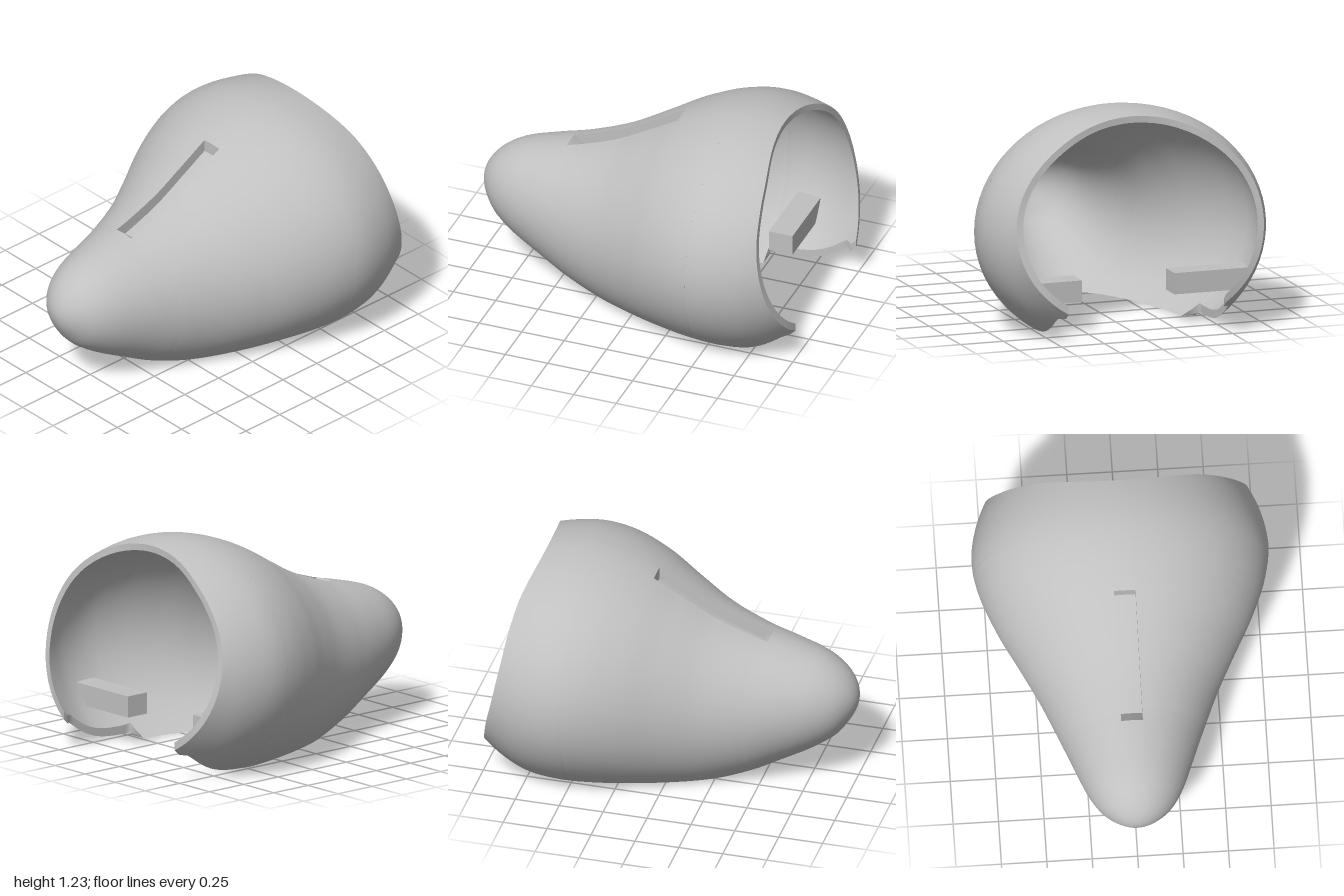
import * as THREE from 'three';
import { mergeVertices } from 'three/addons/utils/BufferGeometryUtils.js';

const { clamp, mapLinear } = THREE.MathUtils;
const SLOT_DEPTH = 0.07;
const SIDE = 26, MID = 2; // columns beside and (half) across the slot

// Wall thickness, thinner towards the rear
const wall = z => mapLinear(clamp(z, -.8, .2), -.8, .2, .036, .055);

// Elliptical stations: z, half width, top y, bottom y
const stations = [
  [1, 0, .49, .49], [.95, .135, .62, .35], [.9, .19, .67, .28], [.8, .255, .73, .2],
  [.6, .335, .79, .085], [.44, .395, .83, 0], [.2, .495, .92, -.085], [0, .6, 1.03, -.115],
  [-.2, .71, 1.14, -.125], [-.4, .79, 1.21, -.13], [-.57, .817, 1.23, -.13],
  [-.76, .783, 1.21, -.11], [-.9, .72, 1.17, -.05], [-1, .665, 1.1, .03], [-1.1, .58, 1, .13],
];
const spline = (times, values, size) => new THREE.CubicInterpolant(times, values, size, new Float32Array(size));
const body = spline(stations.map(s => Math.sqrt(1 - s[0])), stations.flatMap(s => s.slice(1)), 3);

// Rear trim line: z for each height
const trim = spline([0, .18, .4, .6, .8, 1, 1.1, 1.21, 1.26],
  [-1.055, -1, -.94, -.893, -.856, -.83, -.81, -.76, -.73], 1);

// Rows at fixed z up to the rear cut-out, then rows blending to the trim line
const rows = [];
function addRows(from, to, n, power = 1) {
  for (let i = 0; i < n; i++) rows.push({ z: from + (to - from) * Math.pow(i / n, power) });
}
addRows(1, .5, 24, 2);
const slotStart = rows.length;
addRows(.5, .44, 2);
const opening = rows.length;
addRows(.44, .38, 6, 2);
addRows(.38, -.15, 30);
const slotEnd = rows.length;
addRows(-.15, -.48, 10);
rows.push({ z: -.48 });
for (let i = 0; i <= 16; i++) rows.push({ z: -.48, rear: true, f: i / 16 });
const lastRow = rows.length - 1, lastCol = 2 * (SIDE + MID);

// Point on one elliptical section; depth 0 is the outer skin, 1 the inner
function sectionPoint(z, j, depth, rear) {
  const [a0, top, bottom] = body.evaluate(Math.sqrt(Math.max(0, 1 - z)));
  const b0 = (top - bottom) / 2, c = (top + bottom) / 2, inset = depth * wall(z);
  const a = a0 - inset * Math.min(1, a0 / .35), b = b0 - inset * Math.min(1, b0 / .35);
  const slot = Math.asin(Math.min(.06 / Math.max(a, 1e-5), .35));
  // The rear cut-out narrows slightly at the tips
  const cut = .5 - clamp(-.93 - z, 0, .04);
  const end = rear ? Math.PI - Math.asin(Math.min(1, cut / a))
    : c >= b ? Math.PI : Math.acos(-c / b);
  const k = j - SIDE - MID, n = Math.abs(k);
  const angle = Math.sign(k) * (n <= MID ? slot * n / MID : slot + (end - slot) * (n - MID) / SIDE);
  const zi = z > .5 ? .5 + (z - .5) * (1 - inset / .5) : z;
  return new THREE.Vector3(a * Math.sin(angle), c + b * Math.cos(angle), zi);
}

function shellPoint(i, j, depth) {
  const row = rows[i];
  if (!row.rear) return sectionPoint(row.z, j, depth, false);
  let end = -.85;
  for (let n = 0; n < 25; n++) end = trim.evaluate(sectionPoint(end, j, 0, true).y)[0];
  return sectionPoint(row.z + (end - row.z) * row.f, j, depth, true);
}

// Surface through a grid of points, with optional missing cells
function gridGeometry(i0, i1, j0, j1, point, skip = () => false) {
  const pos = [], index = [], w = j1 - j0 + 1;
  for (let i = i0; i <= i1; i++) for (let j = j0; j <= j1; j++) {
    pos.push(...point(i, j).toArray());
    if (i === i1 || j === j1 || skip(i, j)) continue;
    const p = (i - i0) * w + j - j0;
    index.push(p, p + 1, p + w, p + 1, p + w + 1, p + w);
  }
  let g = new THREE.BufferGeometry();
  g.setAttribute('position', new THREE.Float32BufferAttribute(pos, 3));
  g.setIndex(index);
  g = mergeVertices(g, 1e-5);
  g.computeVertexNormals();
  return g;
}

// One layer of a mounting block, its outer end slanted to follow the wall
function blockLayer(side, y0, y1, hole) {
  const plan = new THREE.Shape();
  plan.moveTo(.27, .56).lineTo(.65, .56).lineTo(.65, .7).lineTo(.27, .7).closePath();
  if (hole) plan.holes.push(new THREE.Path().absarc(.35, .63, .028, 0, Math.PI * 2, true));
  const g = new THREE.ExtrudeGeometry(plan, { depth: y1 - y0, bevelEnabled: false, curveSegments: 10 });
  g.rotateX(-Math.PI / 2).translate(0, y0, 0);
  const p = g.attributes.position;
  for (let i = 0; i < p.count; i++) {
    if (p.getX(i) > .5) p.setX(i, mapLinear(p.getY(i), .175, .295, .64, .725));
    p.setX(i, p.getX(i) * side);
  }
  if (side < 0) {
    // Restore outward winding after mirroring
    for (let i = 0; i < p.count; i += 3) {
      const a = new THREE.Vector3().fromBufferAttribute(p, i);
      const b = new THREE.Vector3().fromBufferAttribute(p, i + 1);
      p.setXYZ(i, b.x, b.y, b.z);
      p.setXYZ(i + 1, a.x, a.y, a.z);
    }
  }
  g.computeVertexNormals();
  return g;
}

export function createModel() {
  const grey = new THREE.MeshStandardMaterial({ color: 0xc0c0c0, side: THREE.DoubleSide });
  grey.name = 'plain grey';
  const group = new THREE.Group();
  group.name = 'hollowShell';
  const add = (name, geometry) => {
    const mesh = new THREE.Mesh(geometry, grey);
    mesh.name = name;
    group.add(mesh);
  };

  // Outer and inner skins, both open along the top slot
  const inSlot = (i, j) => i >= slotStart && i < slotEnd && j >= SIDE && j < SIDE + 2 * MID;
  add('outerSkin', gridGeometry(0, lastRow, 0, lastCol, (i, j) => shellPoint(i, j, 0), inSlot));
  add('innerSkin', gridGeometry(0, lastRow, 0, lastCol, (i, j) => shellPoint(i, lastCol - j, 1), inSlot));

  // Cut edges joining the skins
  for (const col of [0, lastCol]) {
    add('bottomRim', gridGeometry(opening, lastRow, 0, 1, (i, k) => shellPoint(i, col, k)));
  }
  add('rearRim', gridGeometry(0, 1, 0, lastCol, (k, j) => shellPoint(lastRow, j, k)));

  // Slot: sunken floor, side walls, rear wall and sloped front
  const sunk = (i, j) => {
    const p = shellPoint(i, j, 0);
    p.y -= SLOT_DEPTH;
    return p;
  };
  const left = SIDE, right = SIDE + 2 * MID;
  add('slotFloor', gridGeometry(opening, slotEnd, left, right, sunk));
  add('slotFront', gridGeometry(0, 1, left, right,
    (k, j) => k ? sunk(opening, j) : shellPoint(slotStart, j, 0)));
  add('slotRear', gridGeometry(0, 1, left, right,
    (k, j) => k ? shellPoint(slotEnd, j, 0) : sunk(slotEnd, j)));
  for (const col of [left, right]) {
    add('slotSide', gridGeometry(slotStart, slotEnd, 0, 1,
      (i, k) => k && i > slotStart ? sunk(Math.max(i, opening), col) : shellPoint(i, col, 0)));
  }

  // Mounting blocks with a blind screw hole underneath
  for (const side of [-1, 1]) {
    add('mountingBlockBase', blockLayer(side, .175, .235, true));
    add('mountingBlockTop', blockLayer(side, .235, .295, false));
  }
  return group;
}
